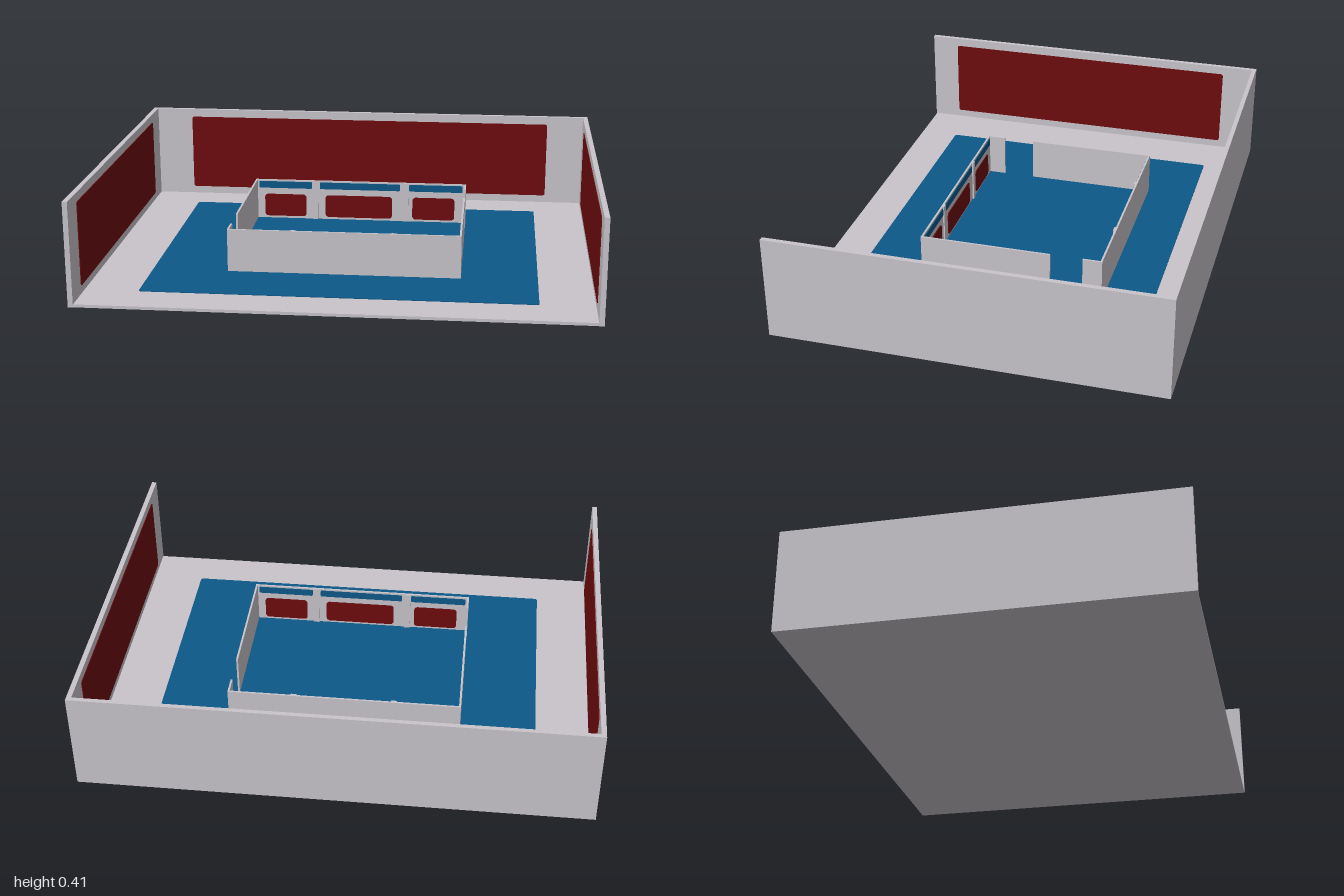
import * as THREE from 'three';

const wallGrey = new THREE.MeshStandardMaterial({ name: 'wall grey', color: 0xc8c4ca });
const panelRed = new THREE.MeshStandardMaterial({ name: 'panel red', color: 0x6e0c0e });
const matBlue = new THREE.MeshStandardMaterial({ name: 'mat blue', color: 0x0d5888 });

// Box given by its minimum and maximum corners
function box(name, material, [x0, y0, z0], [x1, y1, z1]) {
  const mesh = new THREE.Mesh(new THREE.BoxGeometry(x1 - x0, y1 - y0, z1 - z0), material);
  mesh.position.set((x0 + x1) / 2, (y0 + y1) / 2, (z0 + z1) / 2);
  mesh.name = name;
  return mesh;
}

// Thin plate with small rounded corners, lying in xy and facing +z
function plate(name, material, width, height, radius = 0.01) {
  const w = width / 2, h = height / 2, r = radius;
  const shape = new THREE.Shape();
  shape.absarc(w - r, h - r, r, 0, Math.PI / 2);
  shape.absarc(-w + r, h - r, r, Math.PI / 2, Math.PI);
  shape.absarc(-w + r, -h + r, r, Math.PI, Math.PI * 1.5);
  shape.absarc(w - r, -h + r, r, Math.PI * 1.5, Math.PI * 2);
  const geometry = new THREE.ExtrudeGeometry(shape, { depth: 0.003, bevelEnabled: false, curveSegments: 4 });
  const mesh = new THREE.Mesh(geometry, material);
  mesh.name = name;
  return mesh;
}

// Half of the inner enclosure: panelled wall plus one side wall split by a doorway
function enclosureHalf() {
  const half = new THREE.Group();
  const back = -0.368, inner = -0.36, top = 0.19, floorY = 0.012;
  half.add(box('innerWall', wallGrey, [-0.465, floorY, back], [0.465, top, inner]));
  half.add(box('innerSideLong', wallGrey, [-0.465, floorY, inner], [-0.457, top, 0.16]));
  half.add(box('innerSideShort', wallGrey, [0.457, floorY, inner], [0.465, top, -0.29]));

  // Posts between the panels
  for (const x of [-0.2, 0.2]) {
    half.add(box('wallPost', wallGrey, [x - 0.012, floorY, inner], [x + 0.012, top, inner + 0.006]));
  }
  // Red panels with blue bands above: [left, right] of each bay
  for (const [a, b] of [[-0.425, -0.24], [-0.155, 0.14], [0.23, 0.415]]) {
    const panel = plate('wallPanel', panelRed, b - a, 0.1, 0.015);
    panel.position.set((a + b) / 2, 0.075, inner);
    half.add(panel);
  }
  for (const [a, b] of [[-0.45, -0.215], [-0.18, 0.175], [0.215, 0.45]]) {
    const band = plate('wallBand', matBlue, b - a, 0.03, 0.005);
    band.position.set((a + b) / 2, 0.168, inner);
    half.add(band);
  }
  return half;
}

export function createModel() {
  const model = new THREE.Group();
  model.name = 'arenaRoom';

  // Floor and mat
  model.add(box('floor', wallGrey, [-0.98, 0, -0.75], [0.98, 0.012, 0.765]));
  const mat = plate('floorMat', matBlue, 1.535, 1.19);
  mat.rotation.x = -Math.PI / 2;
  mat.position.set(0, 0.012, 0.007);
  model.add(mat);

  // Outer walls, open at the front
  model.add(box('backWall', wallGrey, [-1, 0, -0.768], [1, 0.415, -0.75]));
  const backPanel = plate('backPanel', panelRed, 1.64, 0.335);
  backPanel.position.set(0, 0.212, -0.75);
  model.add(backPanel);
  for (const s of [-1, 1]) {
    const wall = box('sideWall', wallGrey, [-0.01, 0, -0.75], [0.01, 0.415, 0.768]);
    wall.position.x = s * 0.99;
    model.add(wall);
    const panel = plate('sidePanel', panelRed, 1.27, 0.335);
    panel.rotation.y = -s * Math.PI / 2;
    panel.position.set(s * 0.98, 0.212, 0.015);
    model.add(panel);
  }

  // Inner enclosure: two halves turned half a circle from each other
  const enclosure = new THREE.Group();
  enclosure.name = 'innerEnclosure';
  for (let i = 0; i < 2; i++) {
    const half = enclosureHalf();
    half.name = i ? 'enclosureFront' : 'enclosureBack';
    half.rotation.y = i * Math.PI;
    enclosure.add(half);
  }
  enclosure.position.z = -0.024;
  model.add(enclosure);
  return model;
}
